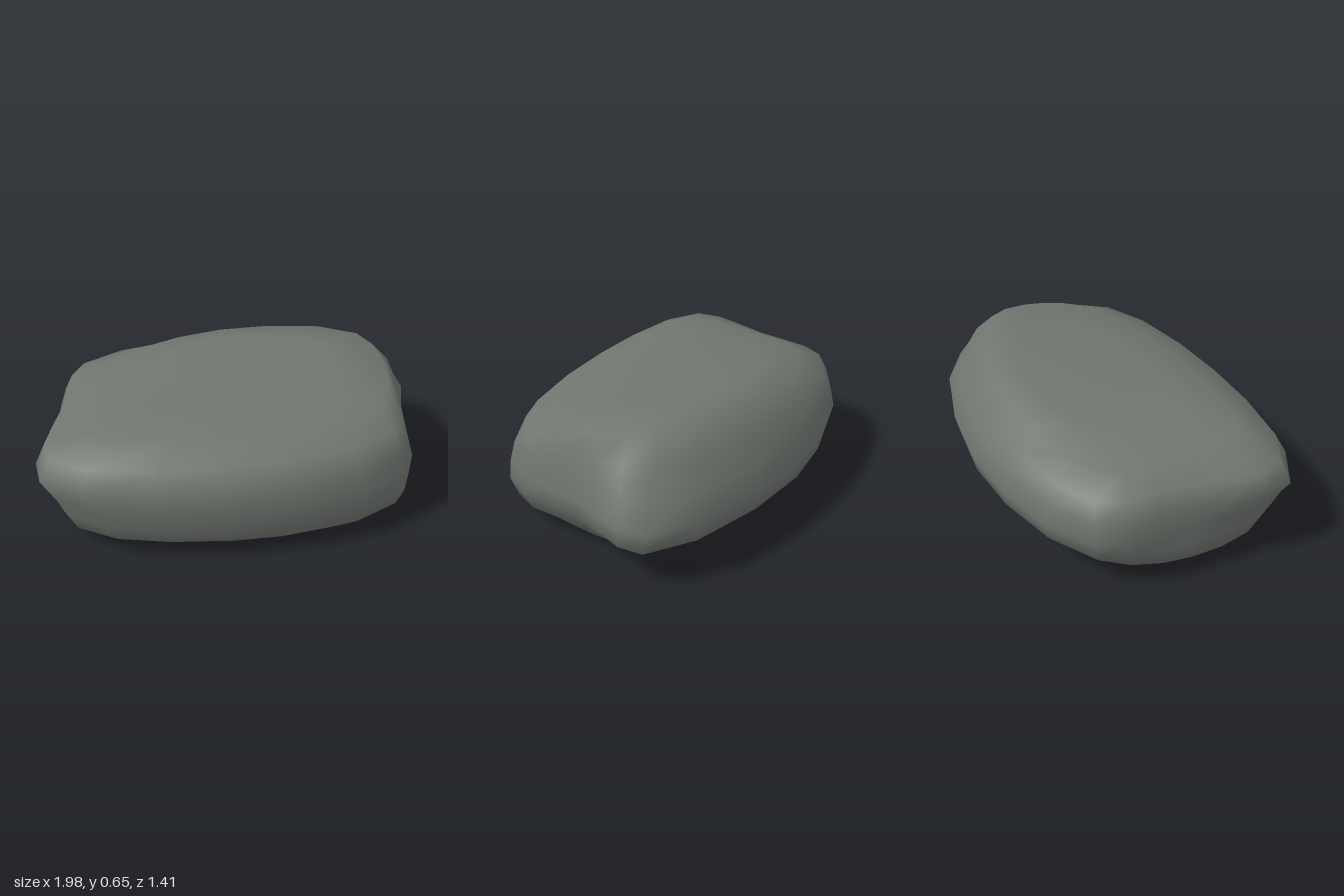
import * as THREE from 'three';

const SEGMENTS = 24;

// Horizontal slices, bottom to top. Outline (x, z) runs:
// front-left corner, front, front-right corner, right, back-right corner, back, back-left corner, left.
const slices = [
  { y: 0.005, tilt: 0, pts: [-0.62, 0.41, -0.05, 0.56, 0.64, 0.42, 0.76, 0.02, 0.66, -0.30, 0.05, -0.43, -0.56, -0.28, -0.72, 0.05] },
  { y: 0.10, tilt: 0, pts: [-0.80, 0.49, -0.08, 0.66, 0.79, 0.47, 0.84, 0.0, 0.84, -0.36, 0.04, -0.59, -0.73, -0.37, -0.90, 0.03] },
  { y: 0.20, tilt: 0, pts: [-0.84, 0.51, -0.10, 0.70, 0.82, 0.49, 0.90, 0.0, 0.98, -0.42, 0.04, -0.69, -0.80, -0.43, -0.91, 0.0] },
  { y: 0.30, tilt: 0, pts: [-0.88, 0.52, -0.10, 0.70, 0.82, 0.48, 0.92, 0.0, 0.98, -0.44, 0.04, -0.71, -0.82, -0.45, -0.89, 0.0] },
  { y: 0.41, tilt: 0, pts: [-0.95, 0.51, -0.10, 0.70, 0.80, 0.46, 0.87, 0.03, 0.91, -0.40, 0.03, -0.67, -0.80, -0.44, -0.89, 0.0] },
  { y: 0.51, tilt: 0.02, pts: [-0.90, 0.48, -0.10, 0.62, 0.76, 0.42, 0.86, 0.04, 0.84, -0.37, 0.02, -0.61, -0.76, -0.41, -0.85, 0.0] },
  { y: 0.585, tilt: 0.1, pts: [-0.66, 0.39, -0.10, 0.46, 0.66, 0.31, 0.81, 0.03, 0.72, -0.32, 0.0, -0.52, -0.62, -0.33, -0.72, 0.0] },
  { y: 0.62, tilt: 0.08, pts: [-0.42, 0.20, -0.06, 0.26, 0.40, 0.16, 0.52, -0.03, 0.47, -0.24, 0.0, -0.38, -0.40, -0.23, -0.46, 0.0] },
];

// Smooth closed outline; tilt twists the upper slices, raising the back right and front left
function outline({ y, tilt, pts }) {
  const control = [];
  for (let i = 0; i < pts.length; i += 2) {
    const x = pts[i], z = pts[i + 1];
    control.push(new THREE.Vector3(x, y + tilt * (0.3 * x - 0.4 * z - 1.3 * x * z), z));
  }
  const curve = new THREE.CatmullRomCurve3(control, true);
  return Array.from({ length: SEGMENTS }, (_, i) => curve.getPoint(i / SEGMENTS));
}

function stoneGeometry() {
  const vertices = slices.flatMap(outline);
  const index = [];
  const at = (layer, i) => layer * SEGMENTS + (i % SEGMENTS);
  const last = slices.length - 1;
  const bottom = vertices.push(new THREE.Vector3(0, 0, 0)) - 1;
  const top = vertices.push(new THREE.Vector3(-0.1, 0.6, -0.07)) - 1;

  for (let i = 0; i < SEGMENTS; i++) {
    // Sides
    for (let j = 0; j < last; j++) {
      index.push(at(j, i), at(j, i + 1), at(j + 1, i + 1));
      index.push(at(j, i), at(j + 1, i + 1), at(j + 1, i));
    }
    // Underside and slightly dished top
    index.push(bottom, at(0, i + 1), at(0, i));
    index.push(top, at(last, i), at(last, i + 1));
  }

  const geometry = new THREE.BufferGeometry().setFromPoints(vertices);
  geometry.setIndex(index);
  geometry.computeVertexNormals();
  return geometry;
}

export function createModel() {
  const group = new THREE.Group();
  group.name = 'rock';
  const stone = new THREE.Mesh(stoneGeometry(), new THREE.MeshStandardMaterial({ color: 0x70756f }));
  stone.name = 'stone';
  group.add(stone);
  return group;
}
